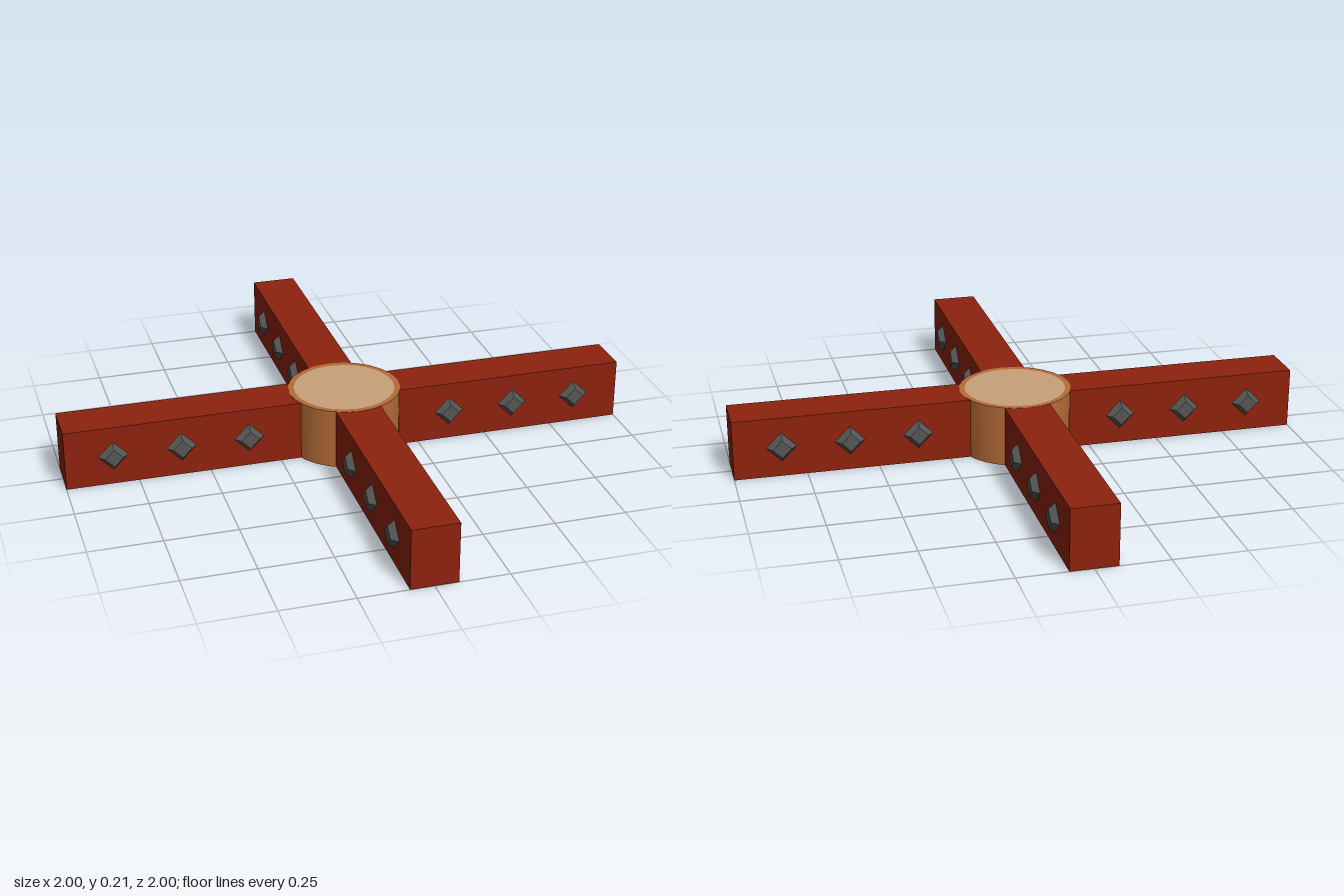
import * as THREE from 'three';

const HEIGHT = 0.213;
const HALF_WIDTH = 0.08;
const INNER = 0.17;
const HUB_RADIUS = 0.197;

const material = (name, color, extra = {}) =>
  Object.assign(new THREE.MeshStandardMaterial({ color, ...extra }), { name });

function addMesh(parent, name, geometry, mat) {
  const mesh = new THREE.Mesh(geometry, mat);
  mesh.name = name;
  parent.add(mesh);
  return mesh;
}

export function createModel() {
  const model = new THREE.Group();
  model.name = 'studdedCross';

  const red = material('red paint', 0x8e220e);
  const wood = material('brown wood', 0xb56c36, { side: THREE.DoubleSide });
  const paleWood = material('pale cut wood', 0xc9a17b, { side: THREE.DoubleSide });
  const iron = material('dark iron', 0x555555, { flatShading: true });

  // Four-sided stud with a flat tip, pointing along +z
  const studGeometry = new THREE.CylinderGeometry(0.032, 0.053, 0.024, 4).rotateX(Math.PI / 2);

  // Four beams around the hub, each with three studs on both sides
  const beamGeometry = new THREE.BoxGeometry(1 - INNER, HEIGHT - 0.001, HALF_WIDTH * 2);
  for (let i = 0; i < 4; i++) {
    const arm = new THREE.Group();
    arm.name = `arm${i + 1}`;
    arm.rotation.y = (i * Math.PI) / 2;
    addMesh(arm, 'beam', beamGeometry, red).position.set((1 + INNER) / 2, (HEIGHT - 0.001) / 2, 0);
    for (const side of [1, -1]) {
      for (const x of [0.363, 0.6, 0.835]) {
        const stud = addMesh(arm, 'stud', studGeometry, iron);
        stud.position.set(x, 0.106, side * (HALF_WIDTH + 0.011));
        if (side < 0) stud.rotation.y = Math.PI;
      }
    }
    model.add(arm);
  }

  // Hollow hub, open underneath, with a bark rim and a pale cut face
  const hub = new THREE.Group();
  hub.name = 'hub';
  addMesh(hub, 'hubWall', new THREE.CylinderGeometry(HUB_RADIUS, HUB_RADIUS, HEIGHT, 24, 1, true), wood)
    .position.y = HEIGHT / 2;
  const rim = addMesh(hub, 'hubRim', new THREE.RingGeometry(0.177, HUB_RADIUS, 24), wood);
  const face = addMesh(hub, 'hubFace', new THREE.CircleGeometry(0.177, 24), paleWood);
  for (const part of [rim, face]) {
    part.rotation.x = -Math.PI / 2;
    part.position.y = HEIGHT;
  }
  model.add(hub);

  return model;
}
